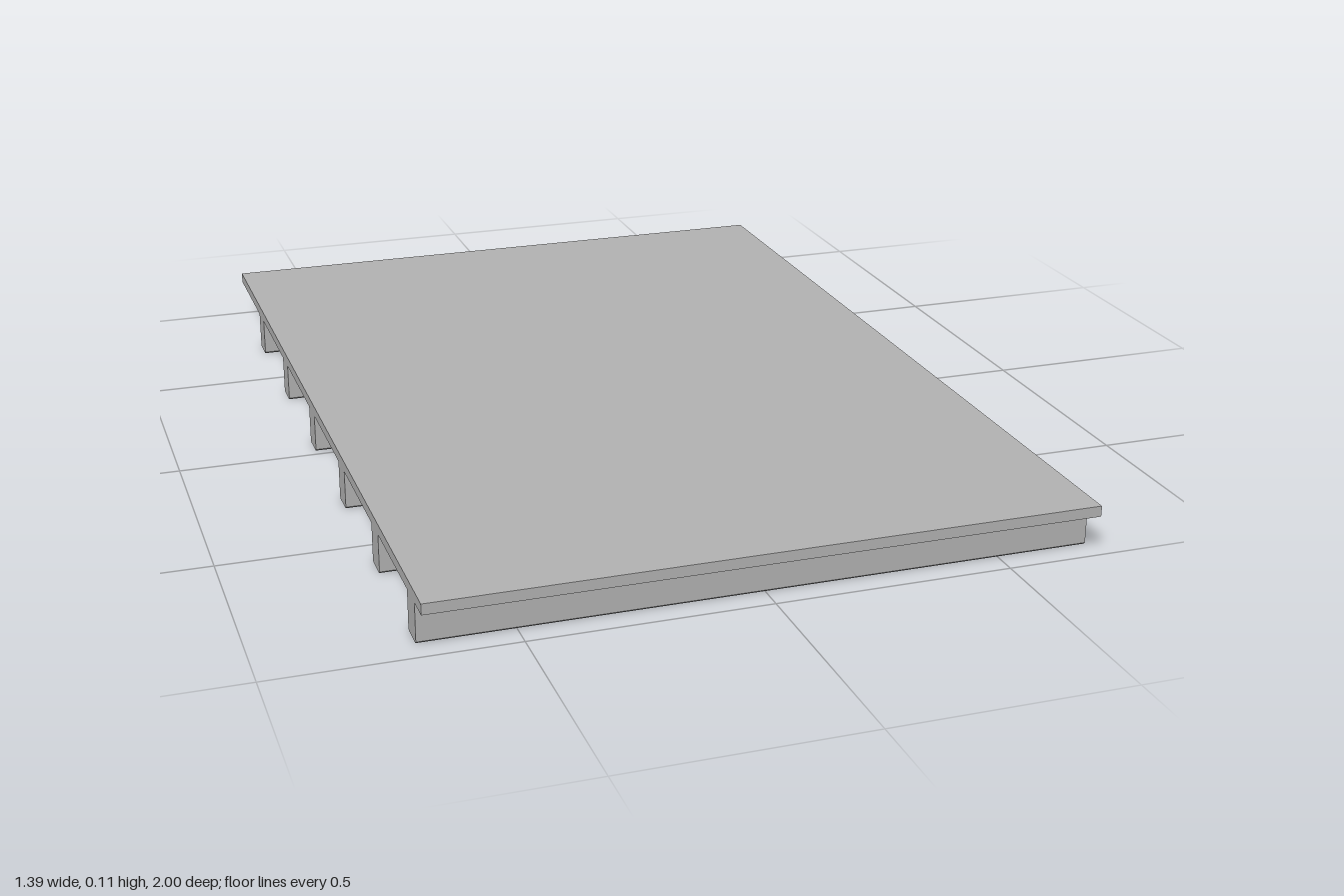
import * as THREE from 'three';

export function createModel() {
  const model = new THREE.Group();
  model.name = 'deckPanel';
  const grey = new THREE.MeshStandardMaterial({ color: 0xb3b3b3 });
  grey.name = 'grey';

  const width = 1.39, length = 2, top = 0.108, underside = 0.085;

  // Flat deck
  const deck = new THREE.Mesh(new THREE.BoxGeometry(width, top - underside, length), grey);
  deck.name = 'deck';
  deck.position.y = (top + underside) / 2;
  model.add(deck);

  // Joist section with slightly chamfered lower edges, extruded across the width
  const half = 0.03, chamfer = 0.004;
  const section = new THREE.Shape([
    [-half, underside], [-half, chamfer], [-half + chamfer, 0],
    [half - chamfer, 0], [half, chamfer], [half, underside],
  ].map(([x, y]) => new THREE.Vector2(x, y)));
  const joistGeometry = new THREE.ExtrudeGeometry(section, { depth: width, bevelEnabled: false });
  joistGeometry.translate(0, 0, -width / 2).rotateY(Math.PI / 2);

  // Cross joists, starting near the front edge
  [0.917, 0.607, 0.281, -0.047, -0.376, -0.705].forEach((z, i) => {
    const joist = new THREE.Mesh(joistGeometry, grey);
    joist.name = `joist${i + 1}`;
    joist.position.z = z;
    model.add(joist);
  });

  return model;
}
